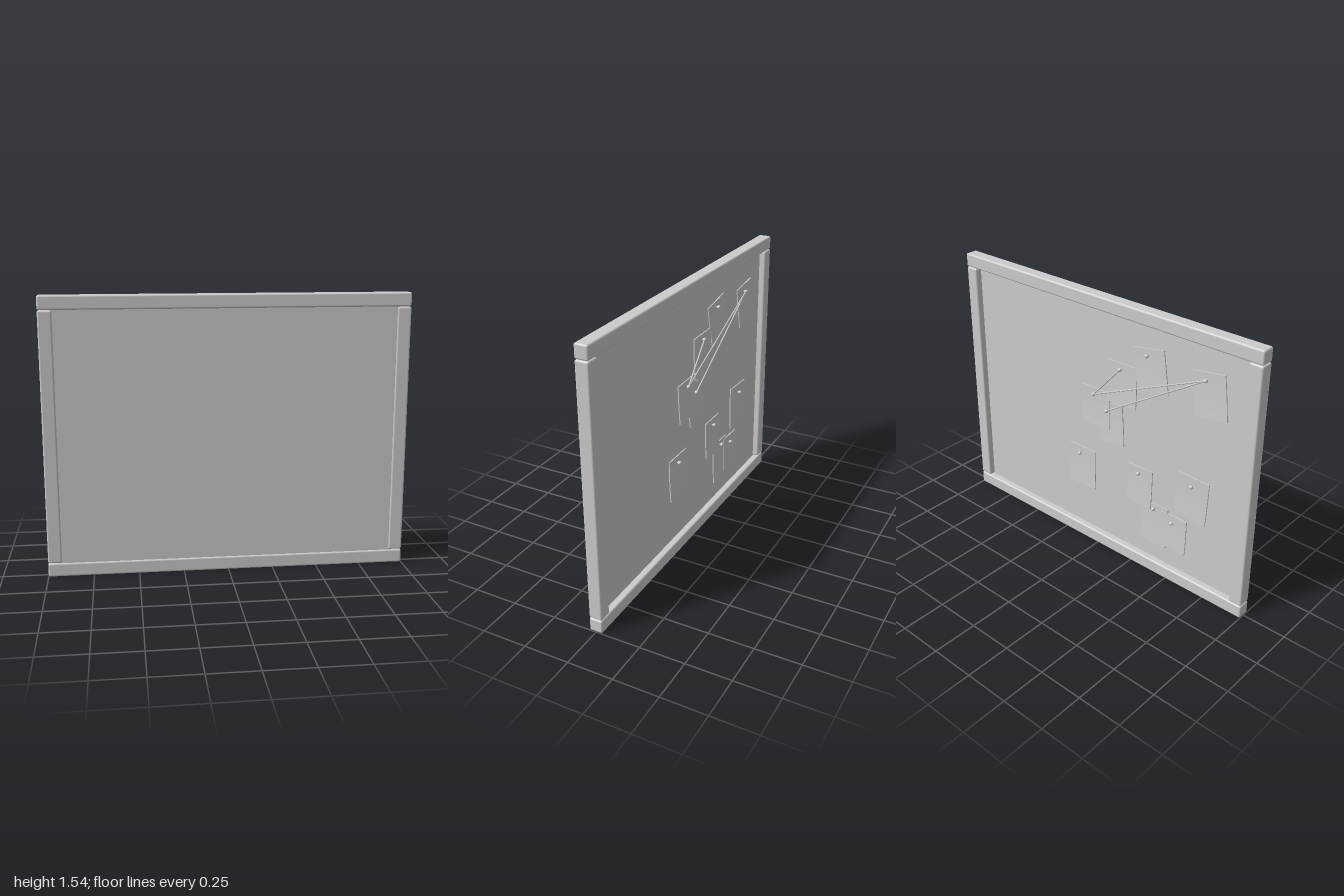
import * as THREE from 'three';
import { RoundedBoxGeometry } from 'three/addons/geometries/RoundedBoxGeometry.js';

const BOARD_BACK = 0.0; // z of the pinning surface, which faces -z
const PIN_Z = -0.022;

// x, y, width, height, tilt in degrees, pin x, pin y, offset off the board
const NOTES = [
  [-0.34, 1.22, 0.20, 0.235, -10, -0.32, 1.30, 0.005],
  [-0.15, 1.08, 0.20, 0.24, -1, -0.146, 1.168, 0.007],
  [0.03, 0.885, 0.20, 0.225, -1.5, 0.04, 0.962, 0.008],
  [-0.075, 0.823, 0.175, 0.24, -5.5, -0.053, 0.892, 0.005],
  [-0.708, 1.205, 0.19, 0.24, -8, -0.684, 1.283, 0.005],
  [0.136, 0.465, 0.195, 0.245, 0, 0.146, 0.549, 0.005],
  [-0.285, 0.51, 0.167, 0.23, 0, -0.282, 0.59, 0.005],
  [-0.632, 0.578, 0.20, 0.255, 2, -0.635, 0.656, 0.005],
  [-0.393, 0.31, 0.175, 0.25, 1, -0.393, 0.41, 0.005],
  [-0.525, 0.31, 0.17, 0.21, 0, -0.517, 0.372, 0.008],
];

// pairs of notes joined by string
const STRINGS = [[2, 1], [2, 4], [3, 4]];

export function createModel() {
  const group = new THREE.Group();
  const grey = new THREE.MeshStandardMaterial({ color: 0xcccccc });
  grey.name = 'plain grey';

  const add = (name, geometry, x, y, z) => {
    const mesh = new THREE.Mesh(geometry, grey);
    mesh.name = name;
    mesh.position.set(x, y, z);
    group.add(mesh);
    return mesh;
  };

  // Frame: full-width rails with the posts held between them
  const rail = new RoundedBoxGeometry(2, 0.076, 0.074, 3, 0.01);
  const post = new RoundedBoxGeometry(0.076, 1.384, 0.074, 3, 0.01);
  add('bottomRail', rail, 0, 0.038, 0);
  add('topRail', rail, 0, 1.502, 0);
  add('leftPost', post, 0.962, 0.77, 0);
  add('rightPost', post, -0.962, 0.77, 0);

  // Panel
  const panelDepth = 0.03;
  add('panel', new THREE.BoxGeometry(1.87, 1.41, panelDepth), 0, 0.77, BOARD_BACK + panelDepth / 2);

  // Notes: thin sheets whose lower edge curls away from the board
  const noteGeometry = (w, h) => {
    const g = new THREE.BoxGeometry(w, h, 0.006, 1, 8, 1);
    const p = g.attributes.position;
    for (let i = 0; i < p.count; i++) {
      const t = 0.5 - p.getY(i) / h;
      p.setZ(i, p.getZ(i) - 0.008 * t * t);
    }
    g.computeVertexNormals();
    return g;
  };

  // Pins: a round head on a short shaft
  const head = new THREE.SphereGeometry(0.011, 14, 10);
  const shaft = new THREE.CylinderGeometry(0.004, 0.004, 0.024, 8).rotateX(Math.PI / 2);

  NOTES.forEach(([x, y, w, h, tilt, px, py, off], i) => {
    const note = add(`note${i + 1}`, noteGeometry(w, h), x, y, BOARD_BACK - off);
    note.rotation.z = THREE.MathUtils.degToRad(tilt);
    add(`pinHead${i + 1}`, head, px, py, PIN_Z);
    add(`pinShaft${i + 1}`, shaft, px, py, PIN_Z + 0.012);
  });

  // Strings stretched between pins
  STRINGS.forEach(([a, b], i) => {
    const start = new THREE.Vector3(NOTES[a][5], NOTES[a][6], PIN_Z);
    const end = new THREE.Vector3(NOTES[b][5], NOTES[b][6], PIN_Z);
    const path = new THREE.LineCurve3(start, end);
    add(`string${i + 1}`, new THREE.TubeGeometry(path, 1, 0.004, 8), 0, 0, 0);
  });

  return group;
}
